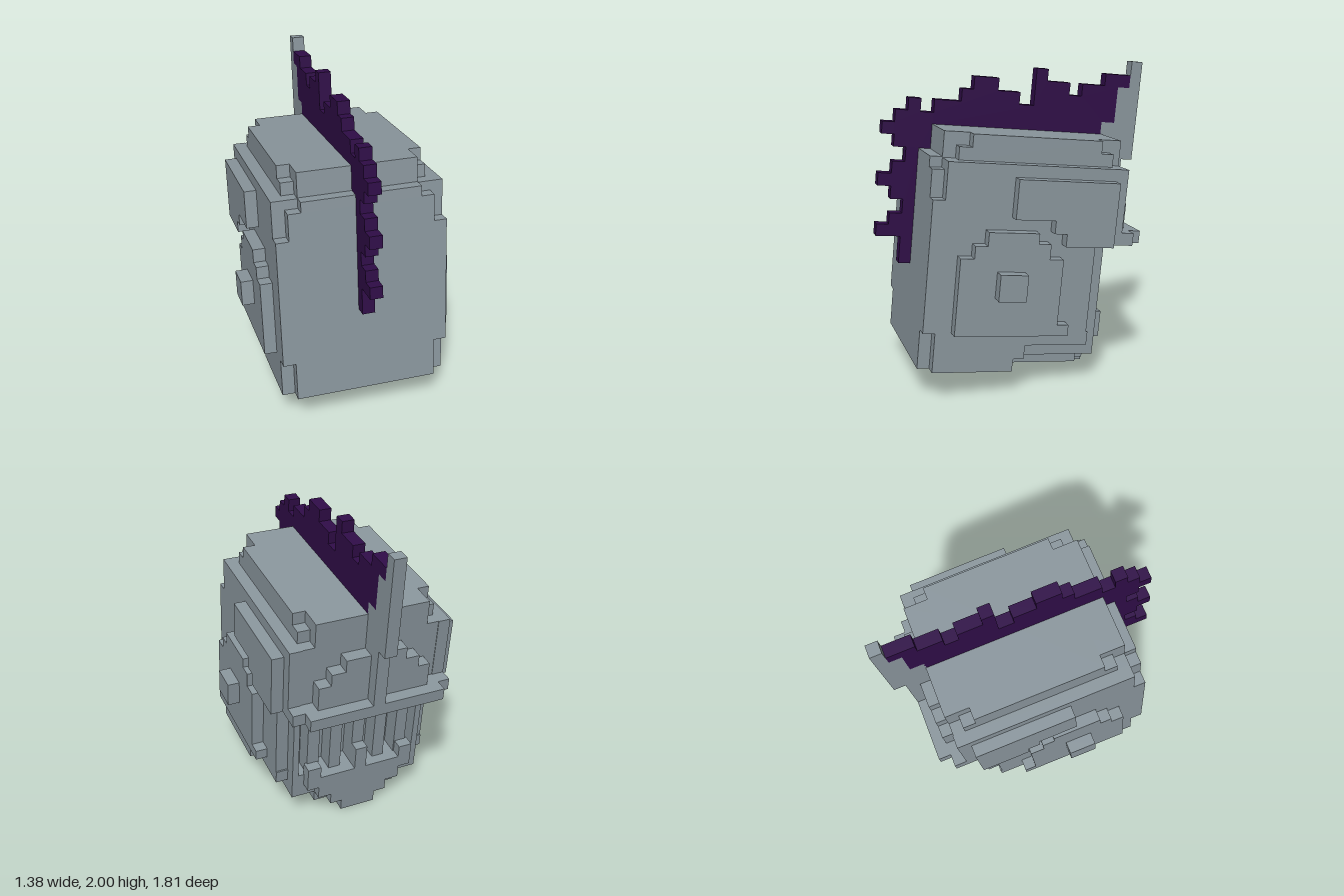
import * as THREE from 'three';

export function createModel() {
  const steel = new THREE.MeshStandardMaterial({ color: 0x8b979e });
  steel.name = 'steelGrey';
  const plume = new THREE.MeshStandardMaterial({ color: 0x300d48 });
  plume.name = 'plumePurple';

  const helmet = new THREE.Group();
  helmet.name = 'helmet';

  // box from x, y and z limits
  const box = (name, x0, x1, y0, y1, z0, z1) => {
    const m = new THREE.Mesh(new THREE.BoxGeometry(x1 - x0, y1 - y0, z1 - z0), steel);
    m.position.set((x0 + x1) / 2, (y0 + y1) / 2, (z0 + z1) / 2);
    m.name = name;
    helmet.add(m);
  };
  // box centred on the helmet's middle plane
  const mid = (name, w, y0, y1, z0, z1) => box(name, -w, w, y0, y1, z0, z1);
  // mirrored pair
  const pair = (name, x0, x1, ...r) => {
    box(name + 'Left', x0, x1, ...r);
    box(name + 'Right', -x1, -x0, ...r);
  };
  // side profile (z, y) extruded across x
  const profile = (name, pts, x0, x1, mat) => {
    const shape = new THREE.Shape(pts.map(p => new THREE.Vector2(p[0], p[1])));
    const g = new THREE.ExtrudeGeometry(shape, { depth: x1 - x0, bevelEnabled: false });
    g.rotateY(-Math.PI / 2);
    g.translate(x1, 0, 0);
    const m = new THREE.Mesh(g, mat);
    m.name = name;
    helmet.add(m);
  };

  // shell
  mid('shellCore', 0.45, 0.3, 1.43, -0.27, 0.68);
  pair('shellSide', 0.45, 0.53, 0.3, 0.95, -0.3, 0.68);
  pair('shellUpperSide', 0.45, 0.53, 0.95, 1.43, -0.47, 0.68);
  mid('crownEdge', 0.45, 1.43, 1.59, -0.31, 0.52);
  mid('crownEdgeLower', 0.45, 1.43, 1.51, -0.39, 0.6);
  mid('crown', 0.37, 1.43, 1.59, -0.466, 0.68);

  // plate on the plumed side with notched corners
  mid('outerPlate', 0.53, 0.38, 1.2, 0.68, 0.756);
  mid('outerPlateMiddle', 0.45, 0.13, 1.37, 0.68, 0.756);
  mid('outerPlateTop', 0.37, 1.37, 1.435, 0.68, 0.756);

  // stepped lower rim
  mid('rimUpper', 0.53, 0.21, 0.3, 0.1, 0.68);
  mid('rimLower', 0.53, 0.13, 0.21, 0.17, 0.68);
  mid('rimJaw', 0.45, 0.21, 0.385, -0.39, 0.1);
  mid('rimJawLow', 0.29, 0.13, 0.21, -0.39, 0.17);
  mid('rimJawLowWide', 0.37, 0.13, 0.21, -0.31, 0.17);

  // breathing grille
  for (const x of [-0.313, -0.157, 0, 0.157, 0.313])
    box('grilleBar', x - 0.04, x + 0.04, 0.385, 0.95, -0.39, -0.26);
  pair('grilleFrame', 0.41, 0.45, 0.385, 0.95, -0.39, -0.26);

  // chin guard
  mid('chinPlate', 0.29, 0.21, 0.385, -0.457, -0.38);
  mid('chinLower', 0.2, 0.13, 0.21, -0.457, -0.38);
  mid('chinTip', 0.12, 0.05, 0.13, -0.457, -0.3);
  mid('chinPost', 0.04, 0.385, 0.547, -0.457, -0.38);
  pair('chinSidePost', 0.28, 0.37, 0.3, 0.47, -0.457, -0.38);

  // visor and brim
  mid('visor', 0.53, 0.95, 1.43, -0.466, -0.26);
  mid('brimWide', 0.53, 0.95, 1.03, -0.55, -0.46);
  mid('brim', 0.45, 0.95, 1.03, -0.63, -0.54);
  [[0.2, 1.35], [0.29, 1.27], [0.37, 1.19]].forEach(([w, top]) =>
    pair('browPlate', 0.04, w, 1.03, top, -0.55, -0.46));

  // spine and spike
  mid('spineBase', 0.04, 0.95, 1.67, -0.55, -0.46);
  mid('spine', 0.04, 0.95, 1.905, -0.63, -0.55);
  mid('spike', 0.04, 1.43, 2.08, -0.705, -0.63);

  // side plates and hinge knobs
  const cheek = [[0.26, 1.11], [0.26, 1.354], [-0.39, 1.354], [-0.39, 0.95],
    [-0.075, 0.95], [-0.075, 1.03], [0.005, 1.03], [0.005, 1.11]];
  const ear = [[0.58, 0.385], [0.58, 0.867], [0.495, 0.867], [0.495, 0.945],
    [0.418, 0.945], [0.418, 1.03], [0.1, 1.03], [0.1, 0.965], [0.02, 0.965],
    [0.02, 0.87], [-0.07, 0.87], [-0.07, 0.455], [-0.145, 0.455], [-0.145, 0.385]];
  for (const [side, a, b] of [['Left', 0.52, 0.607], ['Right', -0.607, -0.52]]) {
    profile('visorPlate' + side, cheek, a, b, steel);
    profile('earPlate' + side, ear, a, b, steel);
  }
  pair('hingeKnob', 0.6, 0.685, 0.626, 0.79, 0.172, 0.347);
  pair('jawStrip', 0.45, 0.53, 0.3, 0.385, -0.31, 0.1);

  // jagged plume
  profile('plume', [
    [0.756, 0.69], [0.832, 0.69], [0.832, 0.865], [0.99, 0.865], [0.99, 0.942],
    [0.912, 0.942], [0.912, 1.015], [0.832, 1.015], [0.832, 1.105], [0.914, 1.105],
    [0.914, 1.187], [1.0, 1.187], [1.0, 1.268], [0.916, 1.268], [0.916, 1.345],
    [0.836, 1.345], [0.836, 1.436], [0.915, 1.436], [0.915, 1.513], [0.995, 1.513],
    [0.995, 1.59], [0.918, 1.59], [0.918, 1.668], [0.84, 1.668], [0.84, 1.746],
    [0.76, 1.746], [0.76, 1.663], [0.676, 1.663], [0.676, 1.745], [0.504, 1.745],
    [0.504, 1.825], [0.43, 1.825], [0.43, 1.907], [0.268, 1.907], [0.268, 1.827],
    [0.12, 1.827], [0.12, 1.748], [0.023, 1.748], [0.023, 1.987], [-0.056, 1.987],
    [-0.056, 1.91], [-0.214, 1.91], [-0.214, 1.83], [-0.3, 1.83], [-0.3, 1.909],
    [-0.455, 1.909], [-0.455, 1.987], [-0.63, 1.987], [-0.63, 1.905], [-0.55, 1.905],
    [-0.55, 1.67], [-0.466, 1.67], [-0.466, 1.59], [0.68, 1.59], [0.68, 1.435],
    [0.756, 1.435]], -0.04, 0.04, plume);

  // slight resting tilt
  helmet.rotation.set(-0.098, 0.024, 0.01);
  const model = new THREE.Group();
  model.name = 'knightHelmet';
  model.add(helmet);
  return model;
}
